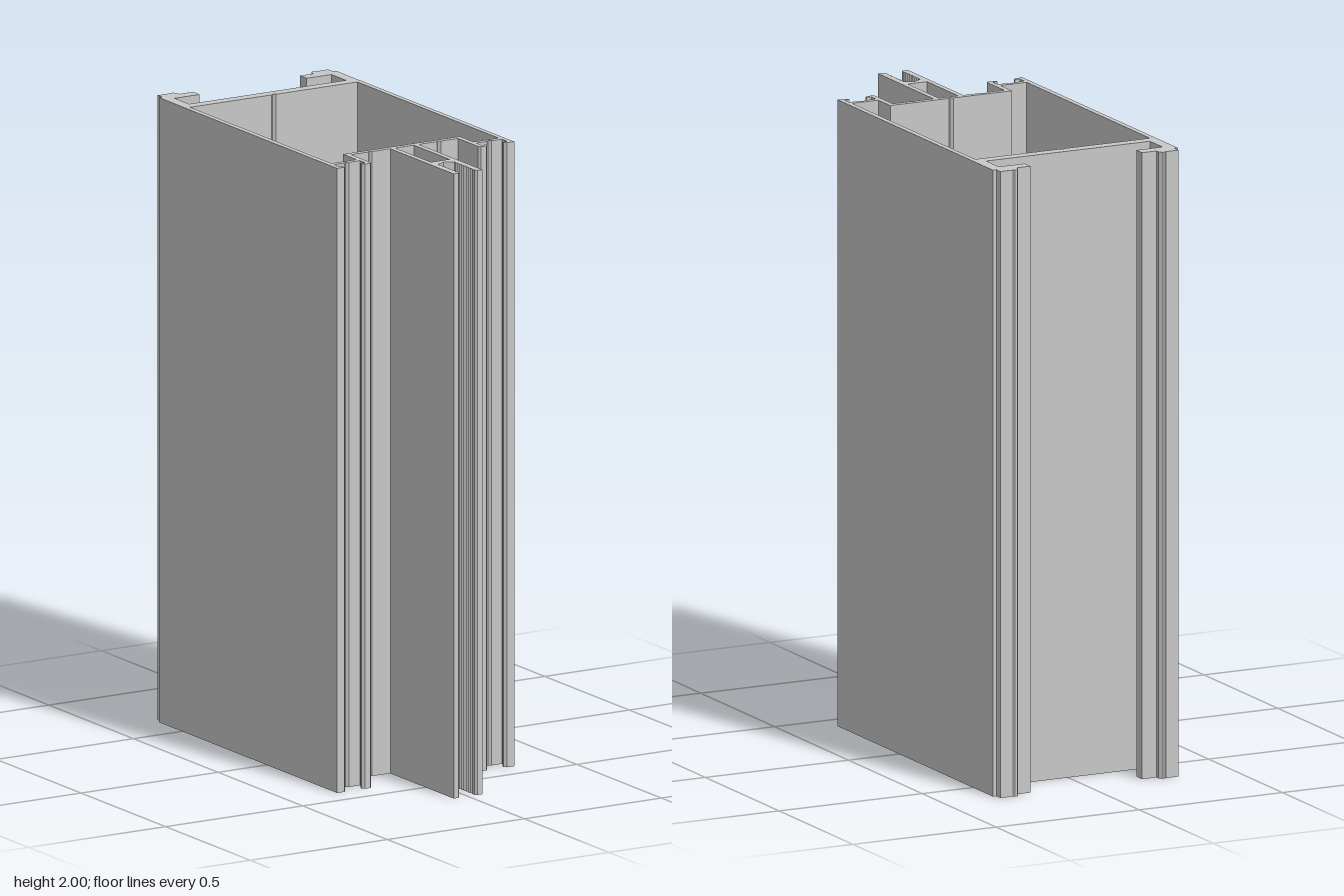
import * as THREE from 'three';

const HEIGHT = 2;

// Mirror a half contour (starting and ending on x = 0) into a closed list of points.
// Points are [x, z]; z is negated so the extrusion can be stood upright, and the
// order is reversed so the outline runs counter-clockwise.
function mirrored(half) {
  const other = half.filter(([x]) => x > 0).reverse().map(([x, z]) => [-x, z]);
  return [...half, ...other].reverse().map(([x, z]) => new THREE.Vector2(x, -z));
}

// Small V groove, running from x0 - w to x0 + w (or back, with negative w)
const groove = (x0, z, w, depth) => [[x0 - w, z], [x0, z + depth], [x0 + w, z]];

// Gripping teeth on the inside of a front fin, from the tip inwards
function teeth() {
  const points = [];
  for (let i = 0; i < 9; i++) {
    const z = 0.646 - i * 0.012;
    points.push([0.027, z], [0.031, z - 0.006]);
  }
  return points;
}

export function createModel() {
  const group = new THREE.Group();
  group.name = 'extrudedProfile';
  const aluminium = new THREE.MeshStandardMaterial({ color: 0xc8c8c8 });
  aluminium.name = 'plain aluminium';

  const outline = mirrored([
    // back web and open back channel
    [0, -0.518], [0.286, -0.518], [0.286, -0.603],
    // back lip with its raised bead
    [0.195, -0.603], [0.195, -0.642], [0.245, -0.642], [0.245, -0.655],
    [0.254, -0.667], [0.262, -0.667], [0.267, -0.663], [0.311, -0.663], [0.311, -0.635],
    // side wall
    [0.323, -0.635], [0.323, 0.417],
    // outer hook of the gasket groove
    [0.297, 0.417], [0.289, 0.409], [0.289, 0.402], [0.306, 0.402], [0.306, 0.371],
    ...groove(0.26, 0.371, -0.008, -0.007),
    // inner hook
    [0.212, 0.371], [0.212, 0.402], [0.229, 0.402], [0.229, 0.409], [0.221, 0.417],
    [0.202, 0.417], [0.195, 0.409],
    // recess beside the central fins
    [0.195, 0.292], ...groove(0.125, 0.292, -0.007, -0.007), [0.052, 0.292],
    // fin with toothed slot
    [0.052, 0.667], [0.034, 0.667], [0.028, 0.66],
    ...teeth(), [0.029, 0.539], [0, 0.522],
  ]);

  // main chamber
  const chamber = mirrored([
    [0, -0.488], [0.008, -0.481], [0.305, -0.481], [0.305, 0.353],
    [0.213, 0.353], [0.213, 0.273], [0.008, 0.273], [0, 0.28],
  ]);

  // narrow chamber between the fins
  const finChamber = mirrored([[0, 0.292], [0.034, 0.292], [0.034, 0.502], [0, 0.502]]);

  const section = new THREE.Shape(outline);
  section.holes.push(new THREE.Path(chamber), new THREE.Path(finChamber));

  const geometry = new THREE.ExtrudeGeometry(section, {
    depth: HEIGHT, bevelEnabled: false, steps: 1,
  });
  geometry.rotateX(-Math.PI / 2);

  const frame = new THREE.Mesh(geometry, aluminium);
  frame.name = 'frameProfile';
  group.add(frame);
  return group;
}
